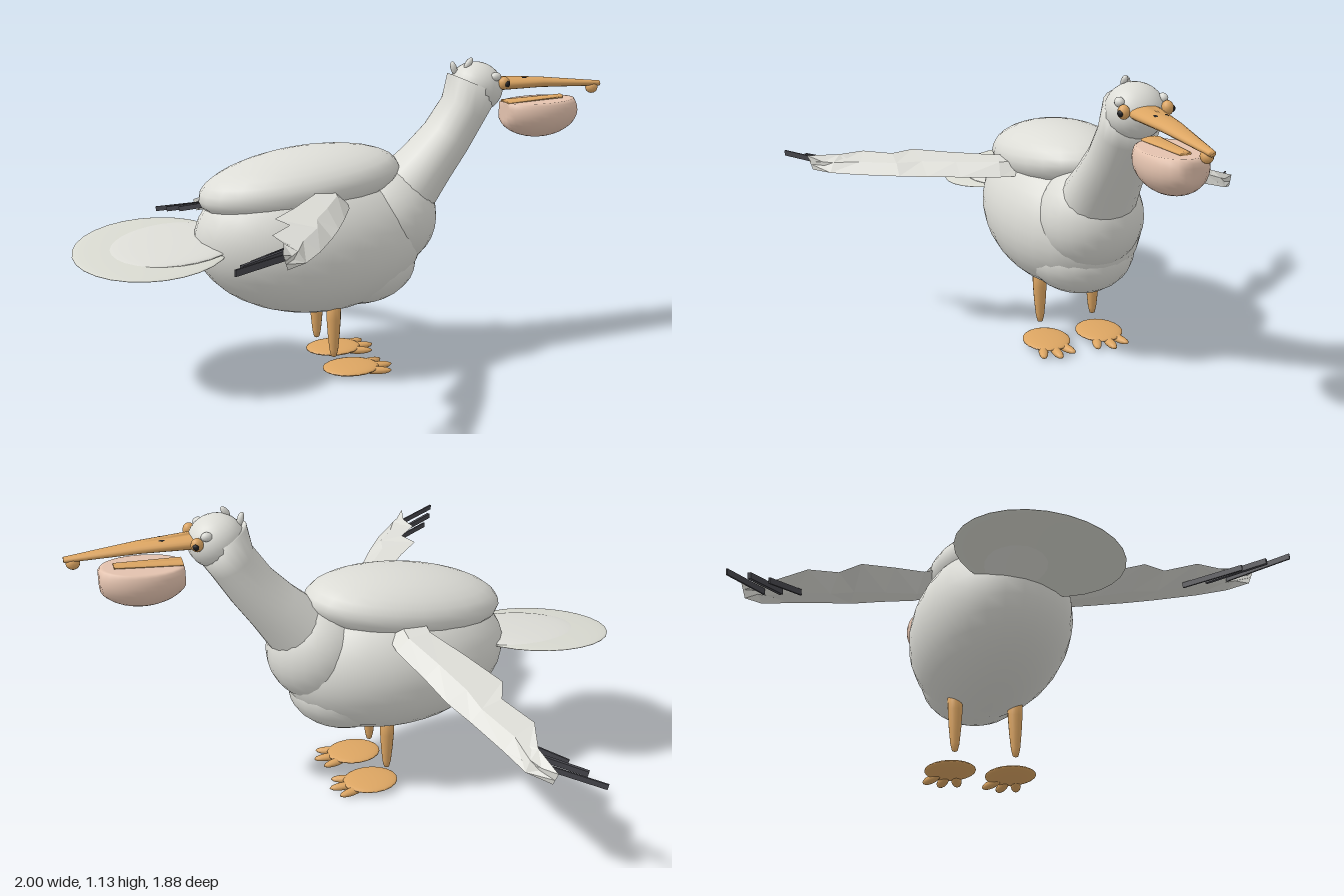
import * as THREE from 'three';

const mat = (name, color, side = THREE.FrontSide) => {
  const m = new THREE.MeshStandardMaterial({ color, side });
  m.name = name;
  return m;
};

export function createModel() {
  const bird = new THREE.Group();
  bird.name = 'wadingBird';
  const plumage = mat('plumage', 0xdcdcd6, THREE.DoubleSide);
  const tailGrey = mat('tailPlumage', 0xd8d9d0);
  const orange = mat('beakOrange', 0xdca562, THREE.DoubleSide);
  const pink = mat('pouchPink', 0xe3c2ae, THREE.DoubleSide);
  const dark = mat('darkFeather', 0x45454b);
  const black = mat('eyeBlack', 0x1c1c1e);

  const add = (name, geo, material, parent = bird) => {
    const m = new THREE.Mesh(geo, material);
    m.name = name;
    parent.add(m);
    return m;
  };
  const ellipsoid = (name, material, pos, radii, rot = [0, 0, 0], seg = 24) => {
    const geo = new THREE.SphereGeometry(1, seg, Math.round(seg * 0.67));
    geo.scale(...radii);
    const m = add(name, geo, material);
    m.position.set(...pos);
    m.rotation.set(...rot);
    return m;
  };
  // Joins equal-sized rings of points into a closed skin
  const loft = (rings, flat = false) => {
    const n = rings[0].length, pos = rings.flat(2), idx = [];
    for (let i = 0; i < rings.length - 1; i++)
      for (let j = 0; j < n; j++) {
        const a = i * n + j, b = i * n + (j + 1) % n;
        idx.push(a, b, a + n, b, b + n, a + n);
      }
    const end = (rings.length - 1) * n;
    for (let j = 1; j < n - 1; j++) idx.push(0, j + 1, j, end, end + j, end + j + 1);
    let g = new THREE.BufferGeometry();
    g.setAttribute('position', new THREE.Float32BufferAttribute(pos, 3));
    g.setIndex(idx);
    if (flat) g = g.toNonIndexed();
    g.computeVertexNormals();
    return g;
  };
  // Elliptical ring centred at x, y and leaning by an angle
  const ring = (x, y, lean, r, rz, n = 20) => Array.from({ length: n }, (_, j) => {
    const t = (j / n) * Math.PI * 2, u = Math.cos(t) * r;
    return [x - Math.sin(lean) * u, y + Math.cos(lean) * u, Math.sin(t) * rz];
  });

  // Torso
  ellipsoid('body', plumage, [-0.15, 0.5, 0], [0.425, 0.272, 0.275], [0, 0, -0.06], 28);
  ellipsoid('belly', plumage, [0.03, 0.4, 0], [0.22, 0.16, 0.2]);
  ellipsoid('chest', plumage, [0.14, 0.56, 0], [0.188, 0.19, 0.19]);
  ellipsoid('back', plumage, [-0.185, 0.71, 0], [0.372, 0.122, 0.222], [0, 0, 0.12]);

  // Neck and head
  add('neck', loft([
    [0.17, 0.6, 0.8, 0.13, 0.145], [0.225, 0.665, 0.87, 0.118, 0.135],
    [0.3, 0.75, 0.9, 0.1, 0.122], [0.375, 0.84, 0.95, 0.09, 0.11],
    [0.44, 0.94, 1.02, 0.087, 0.103], [0.48, 1.03, 1.15, 0.105, 0.1],
  ].map(s => ring(...s))), plumage);
  ellipsoid('head', plumage, [0.49, 1.02, 0], [0.1, 0.092, 0.1], [0, 0, -0.3]);
  ellipsoid('frontCrestTuft', plumage, [0.45, 1.11, 0.02], [0.012, 0.024, 0.012], [0, 0, -0.6], 10);
  ellipsoid('rearCrestTuft', plumage, [0.405, 1.09, -0.01], [0.012, 0.026, 0.014], [0, 0, 0.3], 10);

  // Beak
  add('upperBeak', loft([
    ring(0.54, 1.03, 0, 0.027, 0.06), ring(0.75, 1.026, 0, 0.019, 0.04),
    ring(1.0, 1.01, 0, 0.01, 0.013)]), orange);
  add('lowerBeak', loft([
    ring(0.61, 0.957, 0, 0.009, 0.036), ring(0.84, 0.968, 0, 0.008, 0.02)]), orange);
  ellipsoid('beakHook', orange, [0.97, 0.995, 0], [0.024, 0.022, 0.02], [0, 0, 0], 12);

  // Throat pouch: an ellipsoid cut flat on top and at both ends
  const pouch = new THREE.SphereGeometry(1, 28, 20);
  pouch.scale(0.16, 0.1, 0.107).translate(0.745, 0.92, 0);
  const p = pouch.attributes.position;
  for (let i = 0; i < p.count; i++) {
    const x = THREE.MathUtils.clamp(p.getX(i), 0.608, 0.892);
    p.setXYZ(i, x, Math.min(p.getY(i), 0.955 + (x - 0.61) * 0.035), p.getZ(i));
  }
  pouch.computeVertexNormals();
  add('throatPouch', pouch, pink);

  // Tail fan, higher on the left edge
  ellipsoid('tailFan', tailGrey, [-0.725, 0.512, 0], [0.275, 0.012, 0.272], [0.14, 0, 0.04], 28);
  ellipsoid('tailCoverts', plumage, [-0.655, 0.52, 0], [0.235, 0.018, 0.195], [0.12, 0, 0.05], 28);

  // Wing stations: leading x, z then trailing x, z
  const wings = {
    near: [[-0.06, 0.15, -0.19, 0.12], [-0.085, 0.26, -0.2, 0.23], [-0.145, 0.39, -0.315, 0.385],
      [-0.2, 0.5, -0.41, 0.495], [-0.25, 0.59, -0.385, 0.58], [-0.33, 0.72, -0.465, 0.67],
      [-0.4, 0.81, -0.455, 0.76], [-0.47, 0.86, -0.487, 0.875]],
    far: [[-0.06, 0.15, -0.19, 0.12], [-0.075, 0.26, -0.2, 0.25], [-0.13, 0.39, -0.285, 0.37],
      [-0.17, 0.5, -0.37, 0.5], [-0.22, 0.59, -0.34, 0.57], [-0.285, 0.72, -0.41, 0.68],
      [-0.325, 0.81, -0.38, 0.78], [-0.395, 0.87, -0.405, 0.885]],
  };
  // Feathers: start x, z then end x, z
  const feathers = {
    near: [[-0.38, 0.65, -0.56, 0.79], [-0.42, 0.72, -0.605, 0.86], [-0.44, 0.79, -0.64, 0.93]],
    far: [[-0.34, 0.69, -0.48, 0.805], [-0.36, 0.755, -0.52, 0.87], [-0.37, 0.81, -0.555, 0.94]],
  };
  const height = { near: z => 0.695 - 0.012 * z, far: z => 0.755 - 0.37 * z };
  for (const [key, s] of [['near', 1], ['far', -1]]) {
    const y = height[key], wing = new THREE.Group();
    wing.name = key === 'near' ? 'levelWing' : 'loweredWing';
    bird.add(wing);
    const rings = wings[key].map(([lx, lz, tx, tz], i) => {
      const t = 0.022 * (1 - i / 9), mx = lx * 0.65 + tx * 0.35, mz = lz * 0.65 + tz * 0.35;
      return [[lx, y(lz) - 0.025, lz * s], [mx, y(mz) + t, mz * s],
        [tx, y(tz) + 0.026, tz * s], [mx, y(mz) - t, mz * s]];
    });
    add('wingBlade', loft(rings, true), plumage, wing);
    feathers[key].forEach(([ax, az, bx, bz], i) => {
      const a = new THREE.Vector3(ax, y(az) - 0.02 + i * 0.008, az * s);
      const b = new THREE.Vector3(bx, y(bz) - 0.02 + i * 0.012, bz * s);
      const f = add('flightFeather', new THREE.BoxGeometry(i === 1 ? 0.012 : 0.006, 0.02, a.distanceTo(b)), dark, wing);
      f.position.copy(a).lerp(b, 0.5);
      f.lookAt(b);
    });
  }

  // Paired parts
  const legProfile = [[0, 0.07], [0.01, 0.075], [0.016, 0.1], [0.022, 0.16], [0.026, 0.22], [0.027, 0.28], [0, 0.3]]
    .map(q => new THREE.Vector2(...q));
  for (const s of [1, -1]) {
    const z = 0.108 * s;
    ellipsoid('eyePatch', orange, [0.568, 1.04, 0.076 * s], [0.022, 0.024, 0.02], [0, 0, 0], 14);
    ellipsoid('eye', black, [0.574, 1.038, 0.088 * s], [0.012, 0.012, 0.012], [0, 0, 0], 10);
    ellipsoid('brow', plumage, [0.535, 1.065, 0.076 * s], [0.02, 0.016, 0.016], [0, 0, 0], 12);
    ellipsoid('nostril', black, [0.675, 1.045, 0.018 * s], [0.014, 0.004, 0.006], [0, 0, 0], 10);
    add('leg', new THREE.LatheGeometry(legProfile, 14), orange).position.set(-0.095, 0, z);
    ellipsoid('foot', orange, [-0.03, 0.025, z], [0.105, 0.015, 0.088], [0, 0, 0], 20);
    for (const k of [-1, 0, 1]) {
      ellipsoid('toe', orange, [0.075 - 0.02 * Math.abs(k), 0.017, z + k * 0.045],
        [0.055, 0.014, 0.018], [0, -k * 0.3, 0], 12);
    }
  }
  return bird;
}
